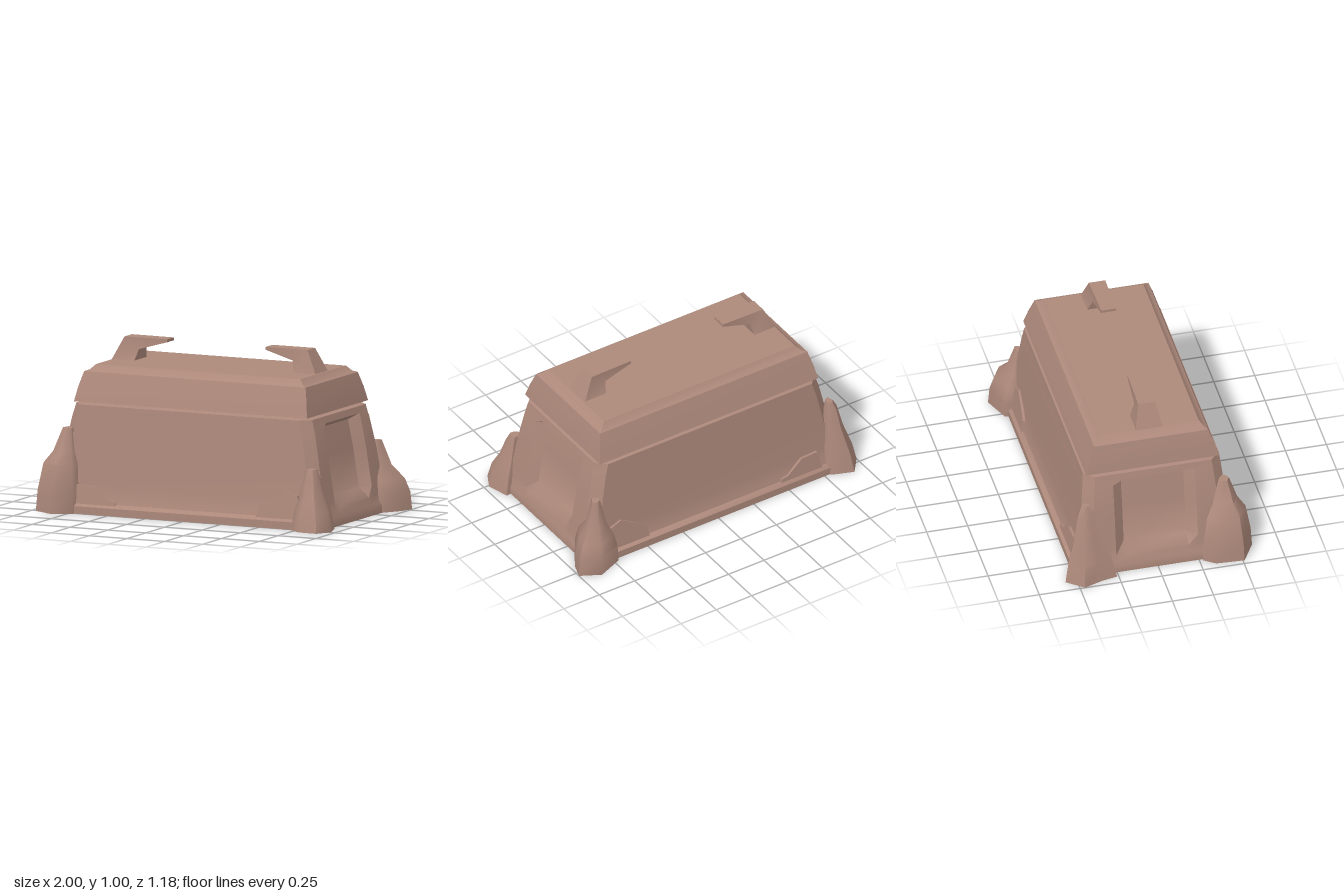
import * as THREE from 'three';
import { toCreasedNormals } from 'three/addons/utils/BufferGeometryUtils.js';

// Skin a closed solid over rings of [x, y, z] points, bottom ring first
function loft(rings, crease = 0.7) {
  const area = rings[0].reduce((s, p, i, r) => {
    const q = r[(i + 1) % r.length];
    return s + p[0] * q[2] - q[0] * p[2];
  }, 0);
  if (area > 0) rings = rings.map((r) => [...r].reverse());
  const n = rings[0].length;
  const pos = [];
  const tri = (a, b, c) => pos.push(...a, ...b, ...c);
  for (let k = 0; k < rings.length - 1; k++) {
    for (let i = 0; i < n; i++) {
      const j = (i + 1) % n, lo = rings[k], hi = rings[k + 1];
      tri(lo[i], lo[j], hi[j]);
      tri(lo[i], hi[j], hi[i]);
    }
  }
  const centre = (r) => [0, 1, 2].map((a) => r.reduce((s, p) => s + p[a], 0) / n);
  const first = rings[0], last = rings[rings.length - 1];
  for (let i = 0; i < n; i++) {
    const j = (i + 1) % n;
    tri(centre(first), first[j], first[i]);
    tri(centre(last), last[i], last[j]);
  }
  const g = new THREE.BufferGeometry();
  g.setAttribute('position', new THREE.Float32BufferAttribute(pos, 3));
  return toCreasedNormals(g, crease);
}

// Body outline at one height: chamfered corners, end panels sunk by `sink`
function bodyRing(y, hx, hz, sink) {
  const c = 0.06;
  const end = [[hx - c, hz], [hx, hz - c], [hx, 0.25], [hx - sink, 0.19]];
  const half = [...end, ...[...end].reverse().map(([x, z]) => [x, -z])];
  return [...half, ...half.map(([x, z]) => [-x, -z])].map(([x, z]) => [x, y, z]);
}

const rect = (y, hx, hz) => [[hx, y, hz], [hx, y, -hz], [-hx, y, -hz], [-hx, y, hz]];

// Claw foot: an outline on the ground shrinking towards a leaning tip
function footGeometry({ outline, tip, height, profile }) {
  return loft(profile.map(([t, s]) => outline.map(([x, z]) => [
    tip[0] + (x - tip[0]) * s, t * height, tip[1] + (z - tip[1]) * s,
  ])), 1.0);
}

export function createModel() {
  const model = new THREE.Group();
  const clay = new THREE.MeshStandardMaterial({ color: 0xac887a });
  clay.name = 'dusty brown';
  const add = (name, geometry) => {
    const mesh = new THREE.Mesh(geometry, clay);
    mesh.name = name;
    model.add(mesh);
    return mesh;
  };

  // Tapered chest with a base lip and sunken ends
  add('body', loft([
    bodyRing(0, 0.9, 0.51, 0),
    bodyRing(0.045, 0.9, 0.51, 0),
    bodyRing(0.065, 0.89, 0.48, 0),
    bodyRing(0.11, 0.882, 0.467, 0),
    bodyRing(0.17, 0.872, 0.458, 0.055),
    bodyRing(0.4, 0.835, 0.44, 0.055),
    bodyRing(0.57, 0.8, 0.422, 0.055),
    bodyRing(0.6, 0.79, 0.419, 0),
    bodyRing(0.64, 0.78, 0.415, 0),
    bodyRing(0.657, 0.7, 0.35, 0),
  ]));

  // Overhanging lid with a stepped top
  add('lid', loft([
    rect(0.655, 0.77, 0.407),
    rect(0.74, 0.755, 0.38),
    rect(0.83, 0.732, 0.347),
    rect(0.84, 0.705, 0.326),
    rect(0.87, 0.675, 0.302),
  ], 0.5));

  // Two bent horns pointing towards each other
  for (const side of [-1, 1]) {
    const ring = (outer, inner, w) => [
      [...outer, w], [...outer, -w], [...inner, -w], [...inner, w],
    ].map(([x, y, z]) => [side * x - 0.008, y, z]);
    add(side > 0 ? 'leftHorn' : 'rightHorn', loft([
      ring([0.675, 0.865], [0.525, 0.865], 0.083),
      ring([0.605, 1.005], [0.51, 0.935], 0.05),
      ring([0.325, 1.005], [0.325, 0.988], 0.045),
    ]));
  }

  // Four irregular claw feet
  const feet = {
    frontRightFoot: {
      outline: [[-0.96, 0.34], [-0.97, 0.51], [-0.83, 0.59], [-0.72, 0.53], [-0.7, 0.42], [-0.79, 0.33], [-0.91, 0.27]],
      tip: [-0.785, 0.42], height: 0.5,
      profile: [[0, 1], [0.25, 0.95], [0.58, 0.78], [0.72, 0.5], [1, 0.22]],
    },
    frontLeftFoot: {
      outline: [[0.93, 0.36], [0.97, 0.49], [0.92, 0.585], [0.8, 0.58], [0.72, 0.52], [0.72, 0.44], [0.8, 0.37]],
      tip: [0.81, 0.43], height: 0.36,
      profile: [[0, 1], [0.3, 0.85], [0.55, 0.58], [0.85, 0.38], [1, 0.24]],
    },
    backLeftFoot: {
      outline: [[0.7, -0.42], [0.72, -0.53], [0.88, -0.595], [1.0, -0.53], [0.97, -0.44], [0.89, -0.31], [0.79, -0.3]],
      tip: [0.81, -0.42], height: 0.42,
      profile: [[0, 1], [0.26, 0.95], [0.45, 0.8], [0.64, 0.45], [1, 0.18]],
    },
    backRightFoot: {
      outline: [[-1, -0.47], [-0.92, -0.57], [-0.79, -0.52], [-0.75, -0.42], [-0.83, -0.3], [-0.94, -0.26], [-0.96, -0.36]],
      tip: [-0.82, -0.43], height: 0.48,
      profile: [[0, 1], [0.25, 0.85], [0.6, 0.52], [0.9, 0.32], [1, 0.18]],
    },
  };
  for (const [name, foot] of Object.entries(feet)) add(name, footGeometry(foot));

  // Low webs spreading from the feet along the long walls
  const webs = {
    LeftWeb: [[0.76, 0.04], [0.74, 0.2], [0.66, 0.23], [0.56, 0.175], [0.49, 0.13], [0.47, 0.04]],
    RightWeb: [[-0.45, 0.04], [-0.46, 0.08], [-0.51, 0.09], [-0.61, 0.165], [-0.72, 0.17], [-0.75, 0.04]],
  };
  for (const [name, points] of Object.entries(webs)) {
    for (const front of [true, false]) {
      const shape = new THREE.Shape(points.map(([x, y]) => new THREE.Vector2(x, y)));
      const g = new THREE.ExtrudeGeometry(shape, { depth: 0.05, bevelEnabled: false });
      g.translate(0, 0, front ? 0.449 : -0.499);
      const p = g.attributes.position;
      // Lean with the wall
      for (let i = 0; i < p.count; i++) {
        p.setZ(i, p.getZ(i) - (front ? 1 : -1) * 0.15 * p.getY(i));
      }
      g.computeVertexNormals();
      add((front ? 'front' : 'back') + name, g);
    }
  }
  return model;
}
